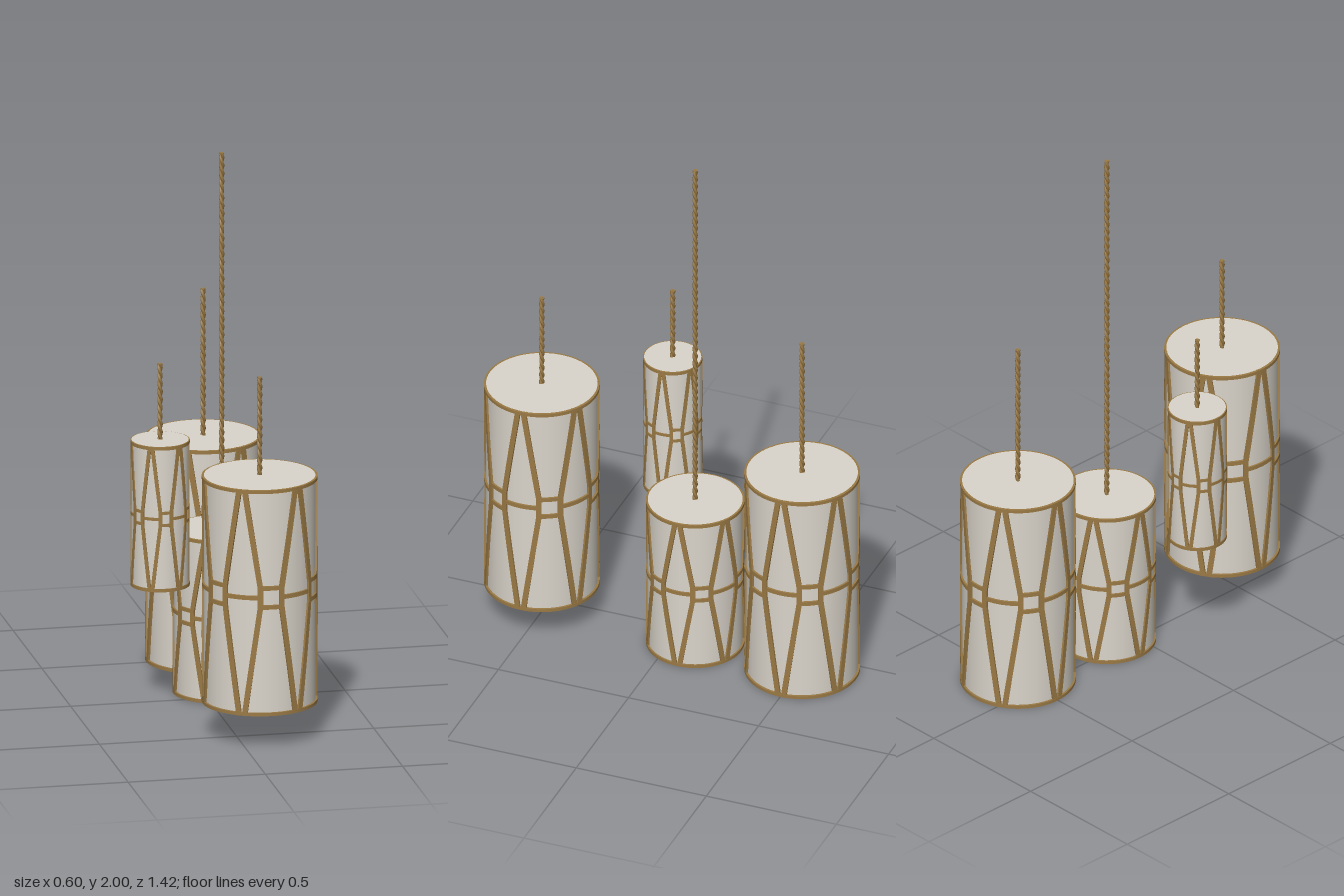
import * as THREE from 'three';
import { mergeGeometries, toCreasedNormals } from 'three/addons/utils/BufferGeometryUtils.js';

const brass = new THREE.MeshStandardMaterial({ color: 0x9b7a45 });
brass.name = 'brass';
const linen = new THREE.MeshStandardMaterial({ color: 0xdad5cb, side: THREE.DoubleSide });
linen.name = 'linen';

const DEG = Math.PI / 180;

function mesh(name, geometry, material) {
  const m = new THREE.Mesh(geometry, material);
  m.name = name;
  return m;
}

// Flat strip wrapped on a cylinder, from angle a0, height y0 to a1, y1
function strip(R, a0, y0, a1, y1, width, depth) {
  const p0 = new THREE.Vector2(a0 * R, y0);
  const p1 = new THREE.Vector2(a1 * R, y1);
  const d = p1.clone().sub(p0).normalize();
  p0.addScaledVector(d, -width * 0.4);
  p1.addScaledVector(d, width * 0.4);
  const g = new THREE.BoxGeometry(1, 1, 1, 1, 6, 1);
  const pos = g.attributes.position;
  for (let i = 0; i < pos.count; i++) {
    const t = pos.getY(i) + 0.5;
    const w = pos.getX(i) * width;
    const s = p0.x + (p1.x - p0.x) * t + d.y * w;
    const y = p0.y + (p1.y - p0.y) * t - d.x * w;
    const r = R + pos.getZ(i) * depth;
    pos.setXYZ(i, r * Math.sin(s / R), y, r * Math.cos(s / R));
  }
  g.computeVertexNormals();
  return g;
}

// Six stretched hexagons joined by small squares at the waist
function lattice(r, y0, y1, mid) {
  const R = r * 0.975, depth = r * 0.045;
  const w = 0.007 + r * 0.06;
  const half = (y1 - y0) * 0.042;
  const tip = 3.2 * DEG, side = 19 * DEG;
  const parts = [];
  const add = (a0, ya, a1, yb, width = w) => parts.push(strip(R, a0, ya, a1, yb, width, depth));
  for (let k = 0; k < 6; k++) {
    const a = (30 + 60 * k) * DEG;
    for (const s of [-1, 1]) {
      add(a + s * tip, y1 - 0.008, a + s * side, mid + half);
      add(a + s * side, mid + half, a + s * side, mid - half);
      add(a + s * side, mid - half, a + s * tip, y0 + 0.008);
      // top and bottom of the square between neighbours
      add(a + side, mid + s * half, a + 60 * DEG - side, mid + s * half, w * 0.8);
    }
    // single tie inside the hexagon
    add(a - side, mid, a + side, mid, w * 0.8);
  }
  return mergeGeometries(parts);
}

// Square-edged hoop
function hoop(r, y, h) {
  const profile = [[0.945, 0], [1, 0], [1, h], [0.945, h], [0.945, 0]]
    .map(([x, v]) => new THREE.Vector2(x * r, y + v));
  return toCreasedNormals(new THREE.LatheGeometry(profile, 64), 0.6);
}

// Two strands twisted around each other
function cord(y0, y1) {
  const strands = [0, Math.PI].map((phase) => {
    const n = Math.ceil((y1 - y0) / 0.005);
    const points = [];
    for (let i = 0; i <= n; i++) {
      const y = y0 + (y1 - y0) * i / n;
      const a = phase + (y - y0) / 0.06 * Math.PI * 2;
      points.push(new THREE.Vector3(0.004 * Math.cos(a), y, 0.004 * Math.sin(a)));
    }
    return new THREE.TubeGeometry(new THREE.CatmullRomCurve3(points), n, 0.006, 6);
  });
  const cap = new THREE.CylinderGeometry(0.009, 0.009, 0.004, 10).translate(0, y1 - 0.002, 0);
  return mergeGeometries([...strands, cap]);
}

function pendant({ name, x, z, r, y0, y1, mid, top }) {
  const g = new THREE.Group();
  g.name = name;
  g.position.set(x, 0, z);
  const shadeR = r * 0.962;
  const wall = new THREE.CylinderGeometry(shadeR, shadeR, y1 - y0 - 0.008, 64, 1, true);
  wall.translate(0, (y0 + y1) / 2, 0);
  const lid = new THREE.CircleGeometry(shadeR, 64).rotateX(-Math.PI / 2).translate(0, y1 + 0.001, 0);
  g.add(
    mesh('shadeWall', wall, linen),
    mesh('shadeLid', lid, linen),
    mesh('topHoop', hoop(r, y1 - 0.012, 0.012), brass),
    mesh('bottomHoop', hoop(r, y0, 0.012), brass),
    mesh('lattice', lattice(r, y0, y1, mid), brass),
    mesh('cord', cord(y1 - 0.005, top), brass),
  );
  return g;
}

export function createModel() {
  const model = new THREE.Group();
  model.name = 'pendantLampCluster';
  const lamps = [
    { name: 'frontLamp', x: 0.084, z: 0.5, r: 0.207, y0: 0.13, y1: 0.967, mid: 0.568, top: 1.33 },
    { name: 'smallLamp', x: -0.197, z: 0.11, r: 0.106, y0: 0.468, y1: 1.006, mid: 0.738, top: 1.287 },
    { name: 'lowLamp', x: 0.068, z: -0.083, r: 0.176, y0: 0.003, y1: 0.606, mid: 0.312, top: 2 },
    { name: 'backLamp', x: 0.088, z: -0.502, r: 0.207, y0: 0.003, y1: 0.832, mid: 0.44, top: 1.378 },
  ];
  for (const lamp of lamps) model.add(pendant(lamp));
  return model;
}
